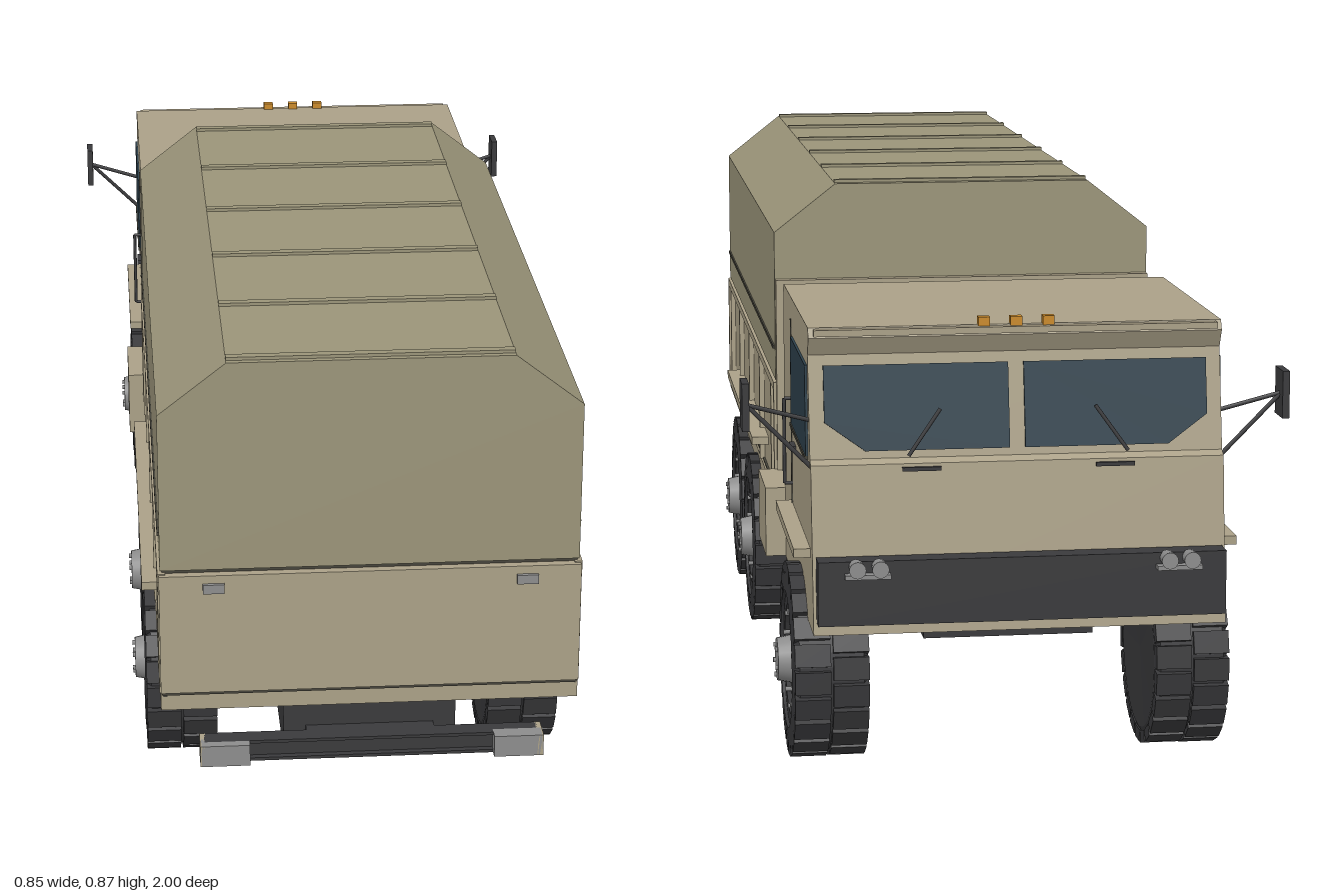
import * as THREE from 'three';

const mat = (color) => new THREE.MeshStandardMaterial({ color });
const body = mat(0xaaa087), tarp = mat(0x9a9479), dark = mat(0x3a3a3c), rubber = mat(0x38383a);
const glass = mat(0x2c3f4a), metal = mat(0x8c8c8c), amber = mat(0xc98a2b), seam = mat(0x45433a);

export function createModel() {
  const truck = new THREE.Group();
  truck.name = 'cargoTruck';

  const add = (name, geo, m, parent = truck) => {
    const mesh = new THREE.Mesh(geo, m);
    mesh.name = name;
    parent.add(mesh);
    return mesh;
  };
  // Box given by its extents on each axis
  const box = (name, m, x0, x1, y0, y1, z0, z1, parent) => {
    const b = add(name, new THREE.BoxGeometry(Math.abs(x1 - x0), y1 - y0, Math.abs(z1 - z0)), m, parent);
    b.position.set((x0 + x1) / 2, (y0 + y1) / 2, (z0 + z1) / 2);
    return b;
  };
  const rod = (name, m, a, b, r) => {
    const p = new THREE.Vector3(...a), q = new THREE.Vector3(...b);
    const mesh = add(name, new THREE.CylinderGeometry(r, r, p.distanceTo(q), 8), m);
    mesh.position.copy(p).add(q).multiplyScalar(0.5);
    mesh.quaternion.setFromUnitVectors(new THREE.Vector3(0, 1, 0), q.sub(p).normalize());
    return mesh;
  };
  const extrude = (pts, depth) => new THREE.ExtrudeGeometry(
    new THREE.Shape(pts.map(([x, y]) => new THREE.Vector2(x, y))), { depth, bevelEnabled: false });
  // Profile in (z, y), extruded across the width
  const sideExtrude = (pts, width) => extrude(pts, width).rotateY(-Math.PI / 2).translate(width / 2, 0, 0);

  // Chassis and rear bumper
  box('chassis', dark, -0.135, 0.135, 0.205, 0.285, -0.82, 0.94);
  box('rearBumperWeb', dark, -0.26, 0.26, 0.217, 0.248, 0.96, 0.975);
  box('rearBumperTop', dark, -0.26, 0.26, 0.245, 0.25, 0.955, 0.985);
  box('rearBumperBottom', dark, -0.26, 0.26, 0.215, 0.22, 0.955, 0.985);
  box('rearBumperMount', dark, -0.1, 0.1, 0.215, 0.25, 0.93, 0.962);

  // Cargo bed
  box('bedFloor', body, -0.325, 0.325, 0.29, 0.318, -0.29, 0.95);
  box('bedWalls', body, -0.318, 0.318, 0.318, 0.52, -0.285, 0.945);
  box('headboard', body, -0.322, 0.322, 0.29, 0.7, -0.292, -0.274);
  box('tailgate', body, -0.325, 0.325, 0.322, 0.52, 0.94, 0.957);
  box('tailgateSeam', seam, -0.323, 0.323, 0.317, 0.323, 0.94, 0.954);

  // Canvas cover with its hoops
  add('canvasCover', extrude([[-0.323, 0.525], [0.323, 0.525], [0.323, 0.78], [0.218, 0.862],
    [-0.218, 0.862], [-0.323, 0.78]], 1.22).translate(0, 0, -0.275), tarp);
  box('canvasHem', seam, -0.32, 0.32, 0.519, 0.527, -0.272, 0.943);
  for (let i = 0; i < 6; i++) {
    const z = 0.928 - i * 0.236;
    box('canvasHoop', tarp, -0.218, 0.218, 0.859, 0.867, z - 0.007, z + 0.007);
  }

  // Cab shell with a recessed windscreen
  add('cab', sideExtrude([[-0.425, 0.25], [-0.425, 0.708], [-0.435, 0.715], [-0.885, 0.715], [-0.893, 0.7],
    [-0.878, 0.672], [-0.908, 0.515], [-0.92, 0.508], [-0.952, 0.25]], 0.64), body);
  box('roofVisor', body, -0.312, 0.312, 0.703, 0.713, -0.9, -0.86);
  box('frontBumper', dark, -0.315, 0.315, 0.27, 0.37, -0.975, -0.94);
  for (const x of [-0.05, 0, 0.05])
    box('roofMarker', amber, x - 0.009, x + 0.009, 0.712, 0.727, -0.89, -0.875);

  for (const s of [-1, 1]) {
    // Bed side details
    for (const z of [0.94, 0.87, 0.605, 0.335, 0.065, -0.21, -0.278])
      box('bedRib', body, s * 0.315, s * 0.327, 0.318, 0.52, z - 0.006, z + 0.006);
    box('bedTopRail', body, s * 0.315, s * 0.327, 0.508, 0.522, -0.285, 0.95);
    box('bedSideSeam', seam, s * 0.315, s * 0.322, 0.313, 0.32, -0.285, 0.95);
    box('canvasStrap', seam, s * 0.32, s * 0.326, 0.577, 0.583, -0.262, 0.93);
    box('rearFender', body, s * 0.315, s * 0.348, 0.362, 0.376, -0.03, 0.665);
    box('tailgateLatch', metal, s * 0.225, s * 0.258, 0.492, 0.507, 0.95, 0.963);
    box('rearLamp', metal, s * 0.19, s * 0.265, 0.215, 0.25, 0.975, 1.0);
    box('bumperCap', body, s * 0.258, s * 0.267, 0.215, 0.25, 0.955, 1.0);

    // Step box between cab and bed
    box('sideLocker', body, s * 0.312, s * 0.354, 0.253, 0.37, -0.435, -0.28);

    // Doors, side windows and handles
    box('frontFender', body, s * 0.315, s * 0.346, 0.362, 0.376, -0.905, -0.557);
    const win = [[-0.605, 0.515], [-0.605, 0.655], [-0.868, 0.655], [-0.878, 0.515]];
    add('sideWindow', sideExtrude(win, 0.008).translate(s * 0.32, 0, 0), glass);
    box('windowSill', seam, s * 0.318, s * 0.326, 0.509, 0.515, -0.878, -0.605);
    box('doorSeam', seam, s * 0.318, s * 0.322, 0.377, 0.68, -0.582, -0.578);
    rod('grabBar', dark, [s * 0.333, 0.41, -0.582], [s * 0.333, 0.55, -0.582], 0.003);
    for (const y of [0.41, 0.55]) rod('grabBarFoot', dark, [s * 0.318, y, -0.582], [s * 0.333, y, -0.582], 0.003);
    box('doorHandle', dark, s * 0.318, s * 0.328, 0.477, 0.485, -0.655, -0.615);

    // Windscreen pane, leaning back at the top
    const pane = add('windscreen', extrude([[s * 0.012, 0.01], [s * 0.235, 0.01], [s * 0.297, 0.055],
      [s * 0.297, 0.142], [s * 0.012, 0.142]], 0.008), glass);
    pane.rotation.x = 0.19;
    pane.position.set(0, 0.517, -0.912);
    rod('wiper', dark, [s * 0.17, 0.52, -0.92], [s * 0.12, 0.59, -0.91], 0.003);
    box('washerVent', dark, s * 0.12, s * 0.18, 0.497, 0.503, -0.926, -0.91);

    // Mirror and its arms
    box('mirror', dark, s * 0.412, s * 0.423, 0.563, 0.637, -0.918, -0.868);
    rod('mirrorArm', dark, [s * 0.315, 0.572, -0.885], [s * 0.415, 0.6, -0.895], 0.0035);
    rod('mirrorBrace', dark, [s * 0.315, 0.5, -0.9], [s * 0.415, 0.6, -0.895], 0.0035);

    // Headlamps on the bumper
    box('headlampBracket', metal, s * 0.205, s * 0.275, 0.345, 0.352, -0.99, -0.96);
    for (const x of [0.222, 0.257]) {
      const lamp = add('headlamp', new THREE.CylinderGeometry(0.013, 0.011, 0.03, 16).rotateX(-Math.PI / 2), metal);
      lamp.position.set(s * x, 0.362, -0.985);
    }
  }

  // Wheels: lathed tyre, two staggered rows of lugs, hub and bolts; outer side is +x
  const tyre = new THREE.LatheGeometry([[0, -0.055], [0.13, -0.058], [0.147, -0.05], [0.148, 0.05], [0.136, 0.058],
    [0.11, 0.06], [0.108, 0.055], [0.088, 0.055], [0.084, 0.048], [0, 0.048]]
    .map(([r, y]) => new THREE.Vector2(r, y)), 40).rotateZ(-Math.PI / 2);
  tyre.computeVertexNormals();
  const tyreGeo = tyre.toNonIndexed();
  tyreGeo.computeVertexNormals();
  const lugGeo = new THREE.BoxGeometry(0.056, 0.02, 0.036).translate(0, 0.145, 0);
  const hubGeo = new THREE.CylinderGeometry(0.034, 0.04, 0.03, 24).rotateZ(-Math.PI / 2);
  const boltGeo = new THREE.CylinderGeometry(0.004, 0.004, 0.012, 6).rotateZ(-Math.PI / 2);

  const makeWheel = () => {
    const w = new THREE.Group();
    w.name = 'wheel';
    add('tyre', tyreGeo, rubber, w);
    for (let i = 0; i < 44; i++) {
      const lug = add('treadLug', lugGeo, rubber, w);
      lug.position.x = i % 2 ? 0.03 : -0.03;
      lug.rotation.x = i * Math.PI / 22;
    }
    add('hub', hubGeo, metal, w).position.x = 0.06;
    for (let i = 0; i < 10; i++) {
      const a = i * Math.PI / 5;
      add('wheelBolt', boltGeo, metal, w).position.set(0.052, 0.078 * Math.cos(a), 0.078 * Math.sin(a));
      if (i % 2) add('hubBolt', boltGeo, metal, w).position.set(0.073, 0.025 * Math.cos(a), 0.025 * Math.sin(a));
    }
    return w;
  };
  for (const z of [-0.73, 0.135, 0.49])
    for (const s of [-1, 1]) {
      const w = makeWheel();
      w.position.set(s * 0.285, 0.155, z);
      if (s < 0) w.rotation.y = Math.PI;
      truck.add(w);
    }
  return truck;
}
